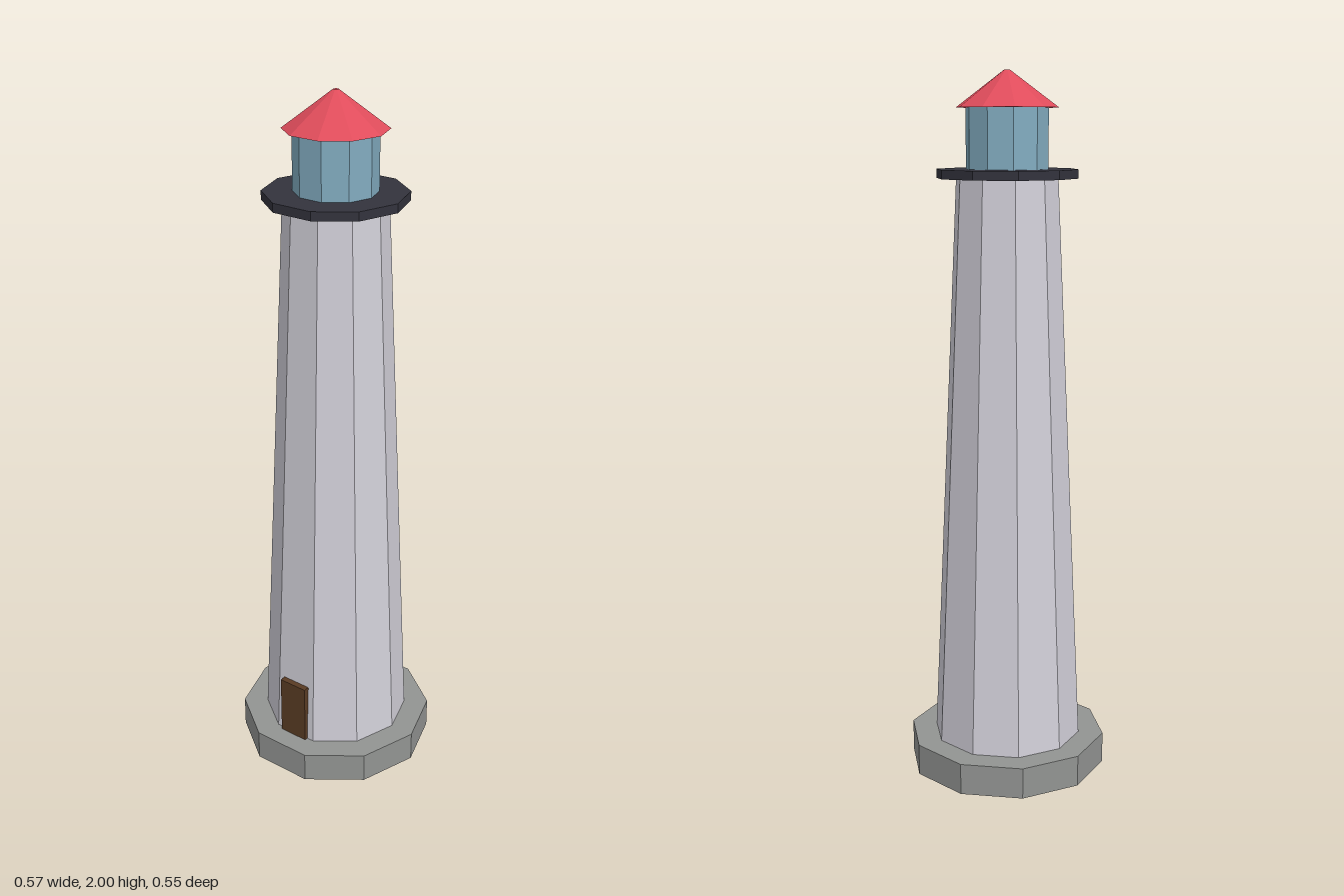
import * as THREE from 'three';

const SIDES = 10;

function material(name, color) {
  const m = new THREE.MeshStandardMaterial({ color });
  m.name = name;
  m.flatShading = true;
  return m;
}

export function createModel() {
  const model = new THREE.Group();
  model.name = 'lighthouse';

  const stone = material('grey stone', 0x929492);
  const wall = material('pale wall', 0xd2d0d9);
  const iron = material('dark iron', 0x33333d);
  const glass = material('blue glass', 0x82acc0);
  const red = material('red roof', 0xdf4c5b);
  const wood = material('brown wood', 0x5a3c24);

  // Ten-sided tier with a flat face towards the front
  function tier(name, mat, rBottom, rTop, y0, y1) {
    const geo = new THREE.CylinderGeometry(rTop, rBottom, y1 - y0, SIDES);
    geo.rotateY(Math.PI / SIDES);
    geo.translate(0, (y0 + y1) / 2, 0);
    const mesh = new THREE.Mesh(geo, mat);
    mesh.name = name;
    model.add(mesh);
  }

  tier('base', stone, 0.287, 0.287, 0, 0.09);
  tier('tower', wall, 0.215, 0.143, 0.09, 1.71);
  tier('gallery', iron, 0.198, 0.198, 1.71, 1.735);
  tier('lantern', glass, 0.115, 0.115, 1.735, 1.9);
  tier('roof', red, 0.143, 0.008, 1.9, 2);

  // Door standing slightly proud of the front wall
  const door = new THREE.Mesh(new THREE.BoxGeometry(0.09, 0.183, 0.018), wood);
  door.name = 'door';
  door.position.set(0, 0.09 + 0.0915, 0.206);
  model.add(door);

  return model;
}
